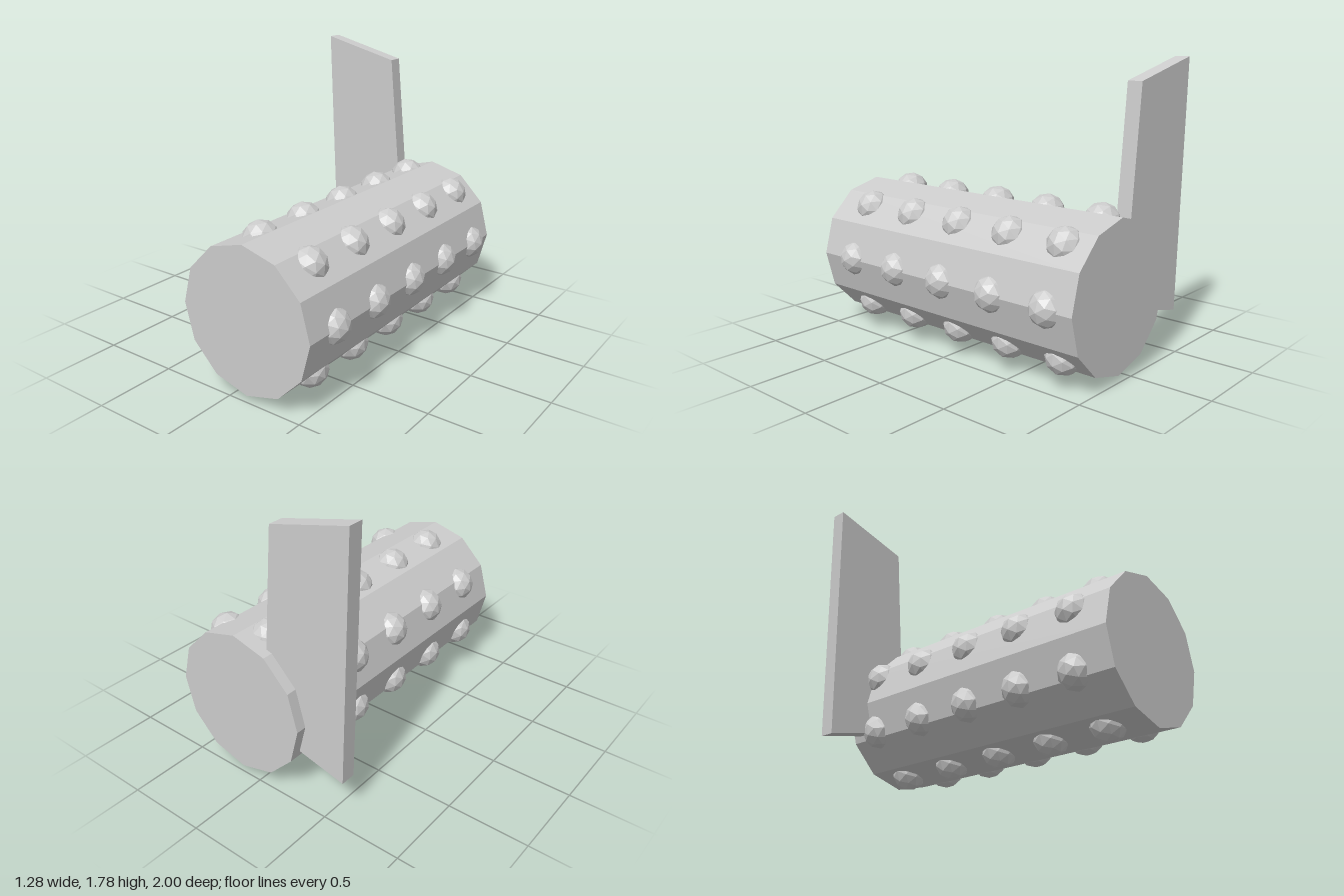
import * as THREE from 'three';

export function createModel() {
  const group = new THREE.Group();
  const grey = new THREE.MeshStandardMaterial({ color: 0xcccccc, flatShading: true });
  grey.name = 'light grey';

  const add = (name, geometry, parent = group) => {
    const mesh = new THREE.Mesh(geometry, grey);
    mesh.name = name;
    parent.add(mesh);
    return mesh;
  };

  // Twelve-sided drum lying along z
  const cx = 0.13, cy = 0.505;
  const drum = new THREE.CylinderGeometry(0.45, 0.45, 2, 12);
  drum.rotateY(Math.PI / 2).rotateX(Math.PI / 2);
  add('drum', drum).position.set(cx, cy, 0);

  // Half-sunk studs: five rings of seven, each turned to face outward
  const studGeometry = new THREE.IcosahedronGeometry(0.11, 1);
  studGeometry.rotateX(Math.atan(2 / (1 + Math.sqrt(5))));
  const studs = new THREE.Group();
  studs.name = 'studs';
  group.add(studs);
  for (let ring = 0; ring < 5; ring++) {
    for (let i = 0; i < 7; i++) {
      const a = (i / 7) * Math.PI * 2;
      const stud = add('stud', studGeometry, studs);
      stud.position.set(cx + 0.396 * Math.cos(a), cy + 0.396 * Math.sin(a), 0.742 - ring * 0.387);
      stud.rotation.z = a;
    }
  }

  // Slanted flat blade near the back, its inner corner buried in the drum
  const outline = new THREE.Shape([
    new THREE.Vector2(-0.58, 0.245),
    new THREE.Vector2(-0.005, 0.38),
    new THREE.Vector2(-0.13, 1.665),
    new THREE.Vector2(-0.645, 1.79),
  ]);
  const blade = new THREE.ExtrudeGeometry(outline, { depth: 0.095, bevelEnabled: false });
  add('blade', blade).position.z = -0.935;

  return group;
}
